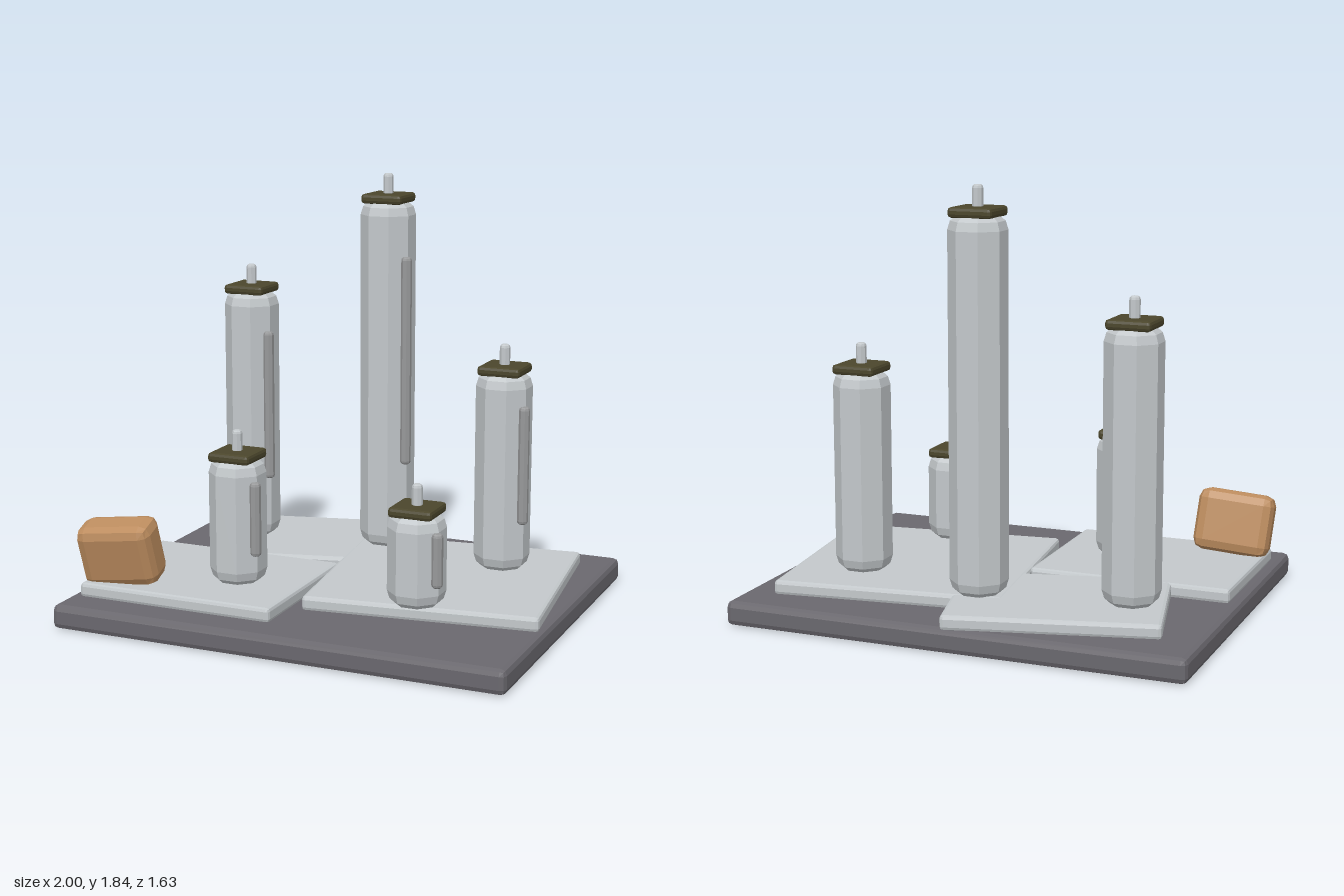
import * as THREE from 'three';
import { RoundedBoxGeometry } from 'three/addons/geometries/RoundedBoxGeometry.js';

const material = (name, color) => {
  const m = new THREE.MeshStandardMaterial({ color });
  m.name = name;
  return m;
};

// Bevelled box with faceted normals
function bevelBox(w, h, d, bevel) {
  const g = new RoundedBoxGeometry(w, h, d, 1, bevel);
  g.computeVertexNormals();
  return g;
}

// Eight-sided upright bar with tapered ends; flats face the axes
function bevelBar(radius, height, bevel) {
  const r = radius / Math.cos(Math.PI / 8);
  const b = bevel, h = height;
  const profile = [
    [0, 0], [r - b * 0.6, 0], [r - b * 0.2, b * 0.35], [r, b],
    [r, h - b], [r - b * 0.2, h - b * 0.35], [r - b * 0.6, h], [0, h],
  ].map(([x, y]) => new THREE.Vector2(x, y));
  const g = new THREE.LatheGeometry(profile, 8, Math.PI / 8).toNonIndexed();
  g.computeVertexNormals();
  return g;
}

function add(parent, name, geometry, mat, x, y, z) {
  const mesh = new THREE.Mesh(geometry, mat);
  mesh.name = name;
  mesh.position.set(x, y, z);
  parent.add(mesh);
  return mesh;
}

export function createModel() {
  const model = new THREE.Group();
  model.name = 'towerBlockDiorama';

  const concrete = material('light concrete', 0xc3c8cb);
  const asphalt = material('dark asphalt', 0x6a686e);
  const roof = material('dark olive roof', 0x4b462c);
  const pipe = material('grey pipe', 0x98999a);
  const clay = material('tan block', 0xbc8c5e);

  // Ground plate
  add(model, 'basePlate', bevelBox(2, 0.105, 1.62, 0.025), asphalt, 0, 0.0525, 0);

  // Paving slabs: x, z, width, depth, turn
  const slabs = [
    [-0.333, -0.4, 0.885, 0.65, 0.24],
    [-0.51, 0.298, 0.89, 0.715, 0],
    [0.425, -0.095, 1.0, 0.98, 0.118],
  ];
  slabs.forEach(([x, z, w, d, turn], i) => {
    const slab = add(model, 'pavingSlab', bevelBox(w, 0.062, d, 0.015), concrete, x, 0.131 + i * 0.0007, z);
    slab.rotation.y = turn;
  });

  // Towers: x, z, height of the body top
  const floor = 0.162;
  const towers = [
    [-0.632, -0.365, 1.29],
    [0, -0.455, 1.715],
    [0.603, -0.305, 1.02],
    [-0.362, 0.33, 0.69],
    [0.453, 0.33, 0.54],
  ];
  for (const [x, z, top] of towers) {
    const tower = new THREE.Group();
    tower.name = 'tower';
    tower.position.set(x, floor, z);
    model.add(tower);
    const h = top - floor;
    add(tower, 'towerBody', bevelBar(0.113, h, 0.055), concrete, 0, 0, 0);
    add(tower, 'roofCap', bevelBox(0.19, 0.042, 0.19, 0.014), roof, 0, h + 0.017, 0);
    add(tower, 'roofPeg', bevelBar(0.021, 0.1, 0.014), concrete, 0, h + 0.025, 0);
    // Side pipe covers the middle 60 percent of the body
    add(tower, 'sidePipe', bevelBar(0.022, h * 0.6, 0.014), pipe, 0.112, h * 0.25, 0.06);
  }

  // Leaning block at the front corner
  const block = add(model, 'leaningBlock', bevelBox(0.335, 0.275, 0.175, 0.045), clay, -0.81, 0.292, 0.545);
  block.rotation.set(0.23, 0.14, 0.07);

  return model;
}
